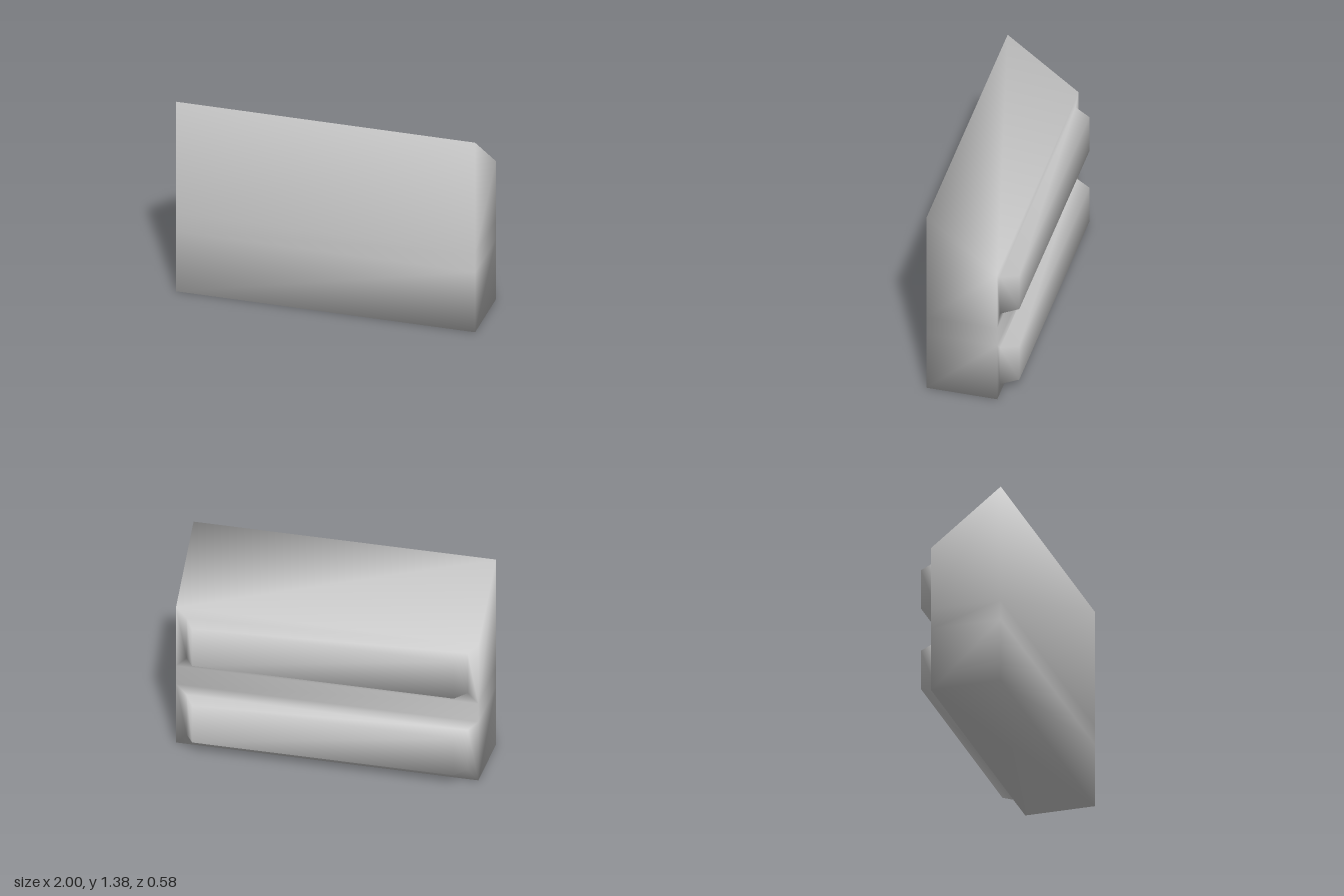
import * as THREE from 'three';

const FRONT = 0.29, BACK = -0.18, BAR_BACK = -0.29;

export function createModel() {
  const group = new THREE.Group();
  const material = new THREE.MeshStandardMaterial({ color: 0xcccccc });

  // Shared corners, so that shading flows smoothly from the body into the bars
  const points = [], lookup = new Map();
  const corner = (p) => {
    const key = p.join();
    if (!lookup.has(key)) {
      lookup.set(key, points.length);
      points.push(new THREE.Vector3(...p));
    }
    return lookup.get(key);
  };
  const parts = { body: [], lowerBackBar: [], upperBackBar: [] };
  const quad = (part, ...corners) => {
    const [a, b, c, d] = corners.map(corner);
    parts[part].push(a, b, c, a, c, d);
  };
  // Band of faces between two matching four-cornered loops
  const bridge = (part, from, to) => {
    for (let k = 0; k < 4; k++) {
      const n = (k + 1) % 4;
      quad(part, from[k], from[n], to[n], to[k]);
    }
  };

  // Body: horizontal cross-sections, the last one sloping down to the back
  const levels = [[0, 0], [0.435, 0.435], [0.57, 0.57], [1.375, 1.005]];
  const rings = levels.map(([yf, yb]) => [[-1, yf, FRONT], [1, yf, FRONT], [1, yb, BACK], [-1, yb, BACK]]);
  for (let i = 0; i < 3; i++) {
    const lo = rings[i], hi = rings[i + 1];
    for (let k = 0; k < 4; k++) {
      // The back of the lowest and highest bands carries a bar instead
      if (k === 2 && i !== 1) continue;
      const n = (k + 1) % 4;
      quad('body', lo[k], lo[n], hi[n], hi[k]);
    }
  }
  quad('body', ...rings[3]);
  quad('body', ...[...rings[0]].reverse());

  // Back bars: an inset border, tapered sides and a flat outer face
  const backLoop = (x, y0, y1, z) => [[x, y0, z], [-x, y0, z], [-x, y1, z], [x, y1, z]];
  for (const [name, y0, y1] of [['lowerBackBar', 0, 0.435], ['upperBackBar', 0.57, 1.005]]) {
    const border = backLoop(1, y0, y1, BACK);
    const base = backLoop(0.93, y0 + 0.07, y1 - 0.07, BACK);
    const end = backLoop(0.865, y0 + 0.081, y1 - 0.081, BAR_BACK);
    bridge('body', border, base);
    bridge(name, base, end);
    quad(name, ...end);
  }

  // Smooth normals over the whole shell, then one mesh per part
  const shell = new THREE.BufferGeometry().setFromPoints(points);
  shell.setIndex(Object.values(parts).flat());
  shell.computeVertexNormals();
  for (const [name, index] of Object.entries(parts)) {
    shell.setIndex(index);
    const mesh = new THREE.Mesh(shell.toNonIndexed(), material);
    mesh.name = name;
    group.add(mesh);
  }
  return group;
}
